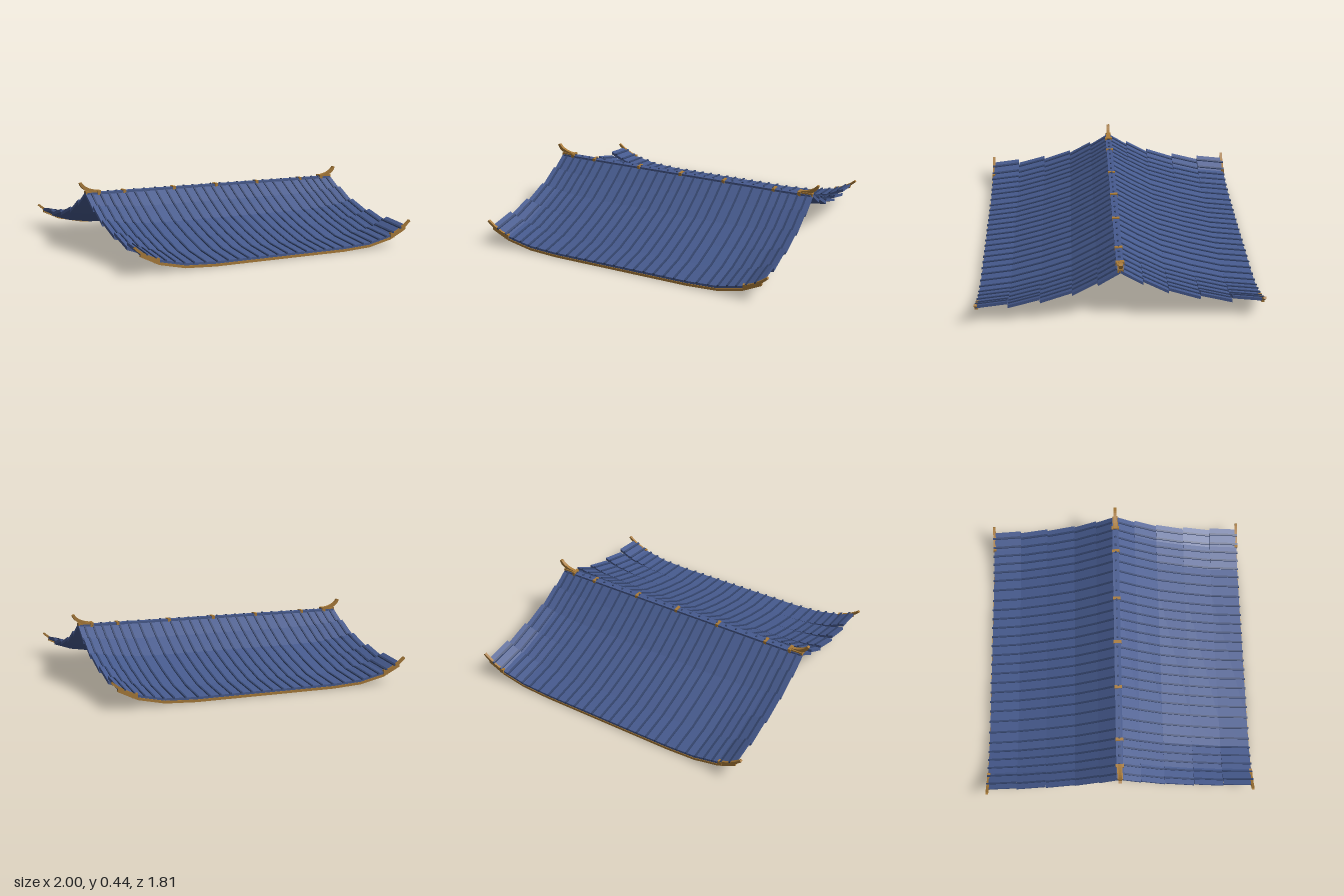
import * as THREE from 'three';

const mat = (name, color) => {
  const m = new THREE.MeshStandardMaterial({ color, flatShading: true });
  m.name = name;
  return m;
};

// piecewise linear interpolation through [x, y] points
function lerpTable(points, x) {
  for (let i = 1; i < points.length; i++) {
    const [x0, y0] = points[i - 1], [x1, y1] = points[i];
    if (x <= x1) return y0 + (y1 - y0) * (x - x0) / (x1 - x0);
  }
  return points[points.length - 1][1];
}

// slope underside at mid roof, upward sweep towards the gable ends, lift of each course
const SLOPE = [[0, 0.34], [0.14, 0.25], [0.3, 0.16], [0.5, 0.09], [0.7, 0.035], [0.9, 0.01], [0.91, 0.009]];
const SWEEP = [[0, 0], [0.47, 0], [0.67, 0.1], [0.84, 0.45], [0.96, 1]];
const COURSES = [
  { z0: 0, z1: 0.14, lift: 0.008 },
  { z0: 0.14, z1: 0.3, lift: 0.03 },
  { z0: 0.3, z1: 0.5, lift: 0.05 },
  { z0: 0.5, z1: 0.7, lift: 0.075 },
  { z0: 0.7, z1: 0.9, lift: 0.105 },
];
const STATIONS = [-0.96, -0.84, -0.67, -0.47, 0.47, 0.67, 0.84, 0.96];

// box bent to follow one course; lo and hi are heights above the underside
function bentBox(xs, z0, z1, lift, lo, hi) {
  const n = xs.length - 1;
  const g = new THREE.BoxGeometry(1, 1, 1, n, 1, 1);
  const p = g.attributes.position;
  for (let i = 0; i < p.count; i++) {
    const x = xs[Math.round((p.getX(i) + 0.5) * n)];
    const z = p.getZ(i) > 0 ? z1 : z0;
    const y = lerpTable(SLOPE, z) + lift * lerpTable(SWEEP, Math.abs(x));
    p.setXYZ(i, x, y + (p.getY(i) > 0 ? hi : lo), z);
  }
  g.computeVertexNormals();
  return g;
}

// upturned horn, drawn in the x-y plane and centred on z = 0
function hornGeometry(lower, tip, upper, depth) {
  const s = new THREE.Shape();
  s.moveTo(...lower[0]);
  s.quadraticCurveTo(...lower[1], ...tip[0]);
  s.lineTo(...tip[1]);
  s.quadraticCurveTo(...upper[0], ...upper[1]);
  s.closePath();
  const g = new THREE.ExtrudeGeometry(s, { depth, bevelEnabled: false, curveSegments: 8 });
  return g.translate(0, 0, -depth / 2);
}

export function createModel() {
  const root = new THREE.Group();
  root.name = 'curvedRoof';
  const tile = mat('tileBlue', 0x465a8e);
  const dark = mat('ribBlue', 0x35466f);
  const gold = mat('gold', 0xa87a38);
  const add = (parent, name, geometry, material) => {
    const m = new THREE.Mesh(geometry, material);
    m.name = name;
    parent.add(m);
    return m;
  };

  // rib positions, mirrored about the middle
  const half = [0.035, 0.105, 0.175, 0.245, 0.315, 0.385, 0.46, 0.54, 0.615, 0.68, 0.74, 0.8, 0.86, 0.92];
  const ribs = half.flatMap((x) => [-x, x]);

  const eaveHorn = hornGeometry([[0.84, 0.055], [0.93, 0.09]], [[1.0, 0.158], [0.99, 0.168]],
    [[0.94, 0.12], [0.84, 0.082]], 0.018);
  const ridgeHorn = hornGeometry([[0.86, 0.358], [0.985, 0.365]], [[1.0, 0.43], [0.985, 0.435]],
    [[0.955, 0.385], [0.86, 0.378]], 0.022);

  // both slopes are the same, turned about the ridge
  ['front', 'back'].forEach((side, s) => {
    const slope = new THREE.Group();
    slope.name = side + 'Slope';
    slope.rotation.y = s * Math.PI;
    root.add(slope);

    COURSES.forEach(({ z0, z1, lift }, i) => {
      add(slope, 'tileCourse' + i, bentBox(STATIONS, z0, z1, lift, 0, 0.021), tile);
      const end = i === COURSES.length - 1 ? z1 + 0.006 : z1;
      for (const x of ribs) {
        add(slope, 'rib', bentBox([x - 0.006, x + 0.006], z0, end, lift, 0.018, 0.029), dark);
      }
    });

    // gold trim under the eave
    add(slope, 'eaveTrim', bentBox(STATIONS, 0.885, 0.903, 0.105, -0.01, 0.006), gold);
    for (const m of [0, Math.PI]) {
      const corner = new THREE.Group();
      corner.name = 'eaveCorner';
      corner.rotation.y = m;
      corner.position.z = 0.896;
      slope.add(corner);
      add(corner, 'eaveHorn', eaveHorn, gold);
      add(corner, 'hornBand', new THREE.BoxGeometry(0.03, 0.03, 0.022).translate(0.855, 0.075, 0), gold);
    }
  });

  // ridge cap with studs and gold clamps
  add(root, 'ridgeCap', new THREE.BoxGeometry(1.9, 0.014, 0.045).translate(0, 0.358, 0), tile);
  for (const x of ribs) {
    add(root, 'ridgeStud', new THREE.CylinderGeometry(0.007, 0.007, 0.01, 8).translate(x, 0.367, 0), dark);
  }
  for (const x of [-0.69, -0.325, 0, 0.325, 0.69]) {
    add(root, 'ridgeClamp', new THREE.BoxGeometry(0.02, 0.022, 0.052).translate(x, 0.36, 0), gold);
  }
  for (const m of [0, Math.PI]) {
    const end = new THREE.Group();
    end.name = 'ridgeEnd';
    end.rotation.y = m;
    root.add(end);
    add(end, 'ridgeHorn', ridgeHorn, gold);
    add(end, 'ridgeBand', new THREE.BoxGeometry(0.09, 0.024, 0.036).translate(0.915, 0.364, 0), gold);
    add(end, 'ridgeEndClamp', new THREE.BoxGeometry(0.022, 0.03, 0.054).translate(0.87, 0.363, 0), gold);
  }
  return root;
}
